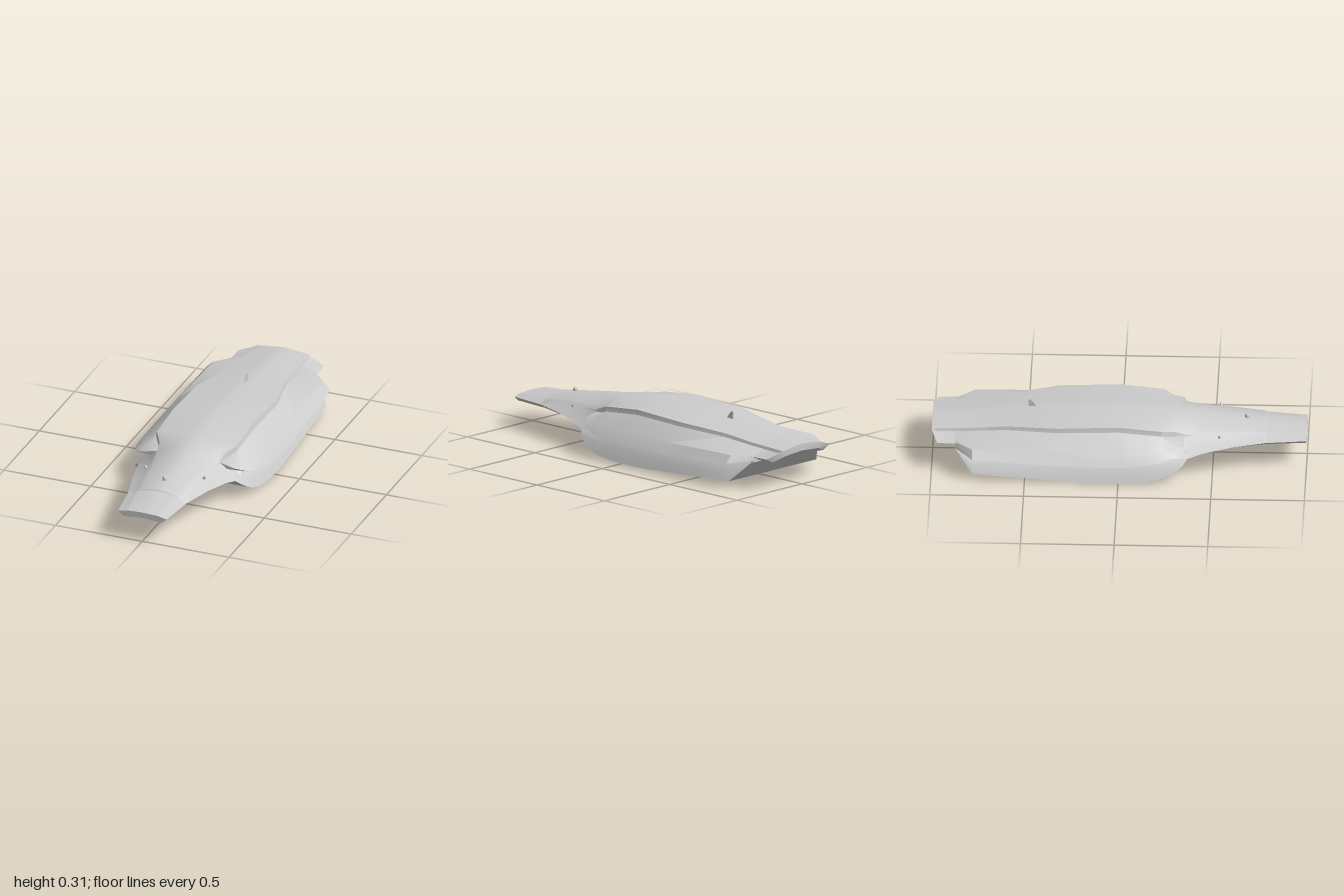
import * as THREE from 'three';
import { toCreasedNormals } from 'three/addons/utils/BufferGeometryUtils.js';

const material = new THREE.MeshStandardMaterial({ color: 0xcccccc });

function add(group, name, geometry, x = 0, y = 0, z = 0) {
  const mesh = new THREE.Mesh(geometry, material);
  mesh.name = name;
  mesh.position.set(x, y, z);
  group.add(mesh);
  return mesh;
}

// Skin closed cross-sections, listed from back to front, and cap both ends.
// Each section is { z, points } with points clockwise as seen from the front.
function loft(sections, flip = false) {
  const n = sections[0].points.length;
  const pos = [], index = [];
  const tri = (a, b, c) => (flip ? index.push(a, c, b) : index.push(a, b, c));
  for (const { z, points } of sections) for (const [x, y] of points) pos.push(flip ? -x : x, y, z);
  for (let i = 0; i < sections.length - 1; i++) {
    for (let j = 0; j < n; j++) {
      const a = i * n + j, b = i * n + (j + 1) % n;
      tri(a, a + n, b + n);
      tri(a, b + n, b);
    }
  }
  for (const end of [0, sections.length - 1]) {
    const { z, points } = sections[end];
    const cx = points.reduce((s, p) => s + p[0], 0) / n;
    const cy = points.reduce((s, p) => s + p[1], 0) / n;
    const centre = pos.length / 3;
    pos.push(flip ? -cx : cx, cy, z);
    for (let j = 0; j < n; j++) {
      const a = end * n + j, b = end * n + (j + 1) % n;
      if (end) tri(centre, b, a); else tri(centre, a, b);
    }
  }
  const g = new THREE.BufferGeometry();
  g.setAttribute('position', new THREE.Float32BufferAttribute(pos, 3));
  g.setIndex(index);
  return toCreasedNormals(g, 0.5);
}

// Complete a half section running from the top centre to the bottom centre.
const mirror = half => half.concat(half.slice(1, -1).reverse().map(([x, y]) => [-x, y]));

// Interpolate a table row; the first column is the rising key.
function sample(table, t) {
  let i = 0;
  while (i < table.length - 2 && t > table[i + 1][0]) i++;
  const a = table[i], b = table[i + 1];
  const f = THREE.MathUtils.clamp((t - a[0]) / (b[0] - a[0]), 0, 1);
  return a.map((v, k) => v + (b[k] - v) * f);
}

// Upper body: z, centre height, deck edge x and y, step depth, outer edge x and y
const body = [
  [-1, 0.222, 0.148, 0.206, 0.004, 0.155, 0.2],
  [-0.97, 0.224, 0.15, 0.208, 0.015, 0.245, 0.172],
  [-0.88, 0.231, 0.152, 0.212, 0.016, 0.248, 0.171],
  [-0.78, 0.239, 0.16, 0.219, 0.016, 0.25, 0.168],
  [-0.6, 0.257, 0.175, 0.24, 0.02, 0.27, 0.155],
  [-0.33, 0.281, 0.23, 0.262, 0.024, 0.28, 0.145],
  [0, 0.296, 0.23, 0.275, 0.028, 0.28, 0.14],
  [0.23, 0.282, 0.228, 0.252, 0.027, 0.28, 0.136],
  [0.3, 0.274, 0.185, 0.228, 0.028, 0.285, 0.118],
  [0.37, 0.265, 0.175, 0.203, 0.01, 0.28, 0.118],
  [0.45, 0.255, 0.16, 0.204, 0.007, 0.255, 0.137],
  [0.6, 0.232, 0.14, 0.197, 0.005, 0.217, 0.155],
  [0.78, 0.206, 0.115, 0.184, 0.003, 0.172, 0.16],
  [0.785, 0.2, 0.113, 0.18, 0.003, 0.168, 0.158],
  [1, 0.172, 0.095, 0.168, 0.002, 0.14, 0.157],
];
function bodySection([z, centre, ex, ey, step, ox, oy]) {
  const half = [];
  for (let k = 0; k <= 6; k++) {
    const t = k / 6;
    half.push([ex * t, centre + (ey - centre) * Math.pow(t, z > 0.25 ? 1.7 : 1.2)]);
  }
  half.push([ex + 0.006, ey - step], [ox, oy], [ox * 0.8, oy - 0.025], [0, oy - 0.016]);
  return { z, points: mirror(half) };
}

// Lower hull: keel height along z, and a flank curve that narrows upward
const keel = [[-0.87, 0.14], [-0.78, 0.036], [-0.5, 0.021], [-0.2, 0.004], [-0.08, 0], [0.05, 0.002],
  [0.14, 0.01], [0.21, 0.022], [0.27, 0.042], [0.31, 0.065], [0.345, 0.092], [0.37, 0.12]];
const flank = [[0, 0.355], [0.05, 0.331], [0.1, 0.3], [0.15, 0.24]];
const flankX = y => sample(flank, y)[1];
function hullSection([z, bottom]) {
  const half = [[0, 0.15]];
  for (let k = 0; k <= 6; k++) {
    const y = 0.15 + (bottom - 0.15) * k / 6;
    half.push([flankX(y), y]);
  }
  half.push([0, bottom]);
  return { z, points: mirror(half) };
}

// Side pod: z, ridge x and y, outer lip x and y; its top meets the foot of the deck step
const pod = [
  [-0.875, 0.235, 0.176, 0.25, 0.146],
  [-0.78, 0.318, 0.177, 0.358, 0.137],
  [-0.33, 0.332, 0.172, 0.376, 0.117],
  [-0.1, 0.336, 0.17, 0.38, 0.112],
  [0.05, 0.335, 0.17, 0.377, 0.114],
  [0.15, 0.328, 0.173, 0.369, 0.12],
  [0.23, 0.312, 0.178, 0.353, 0.132],
  [0.3, 0.275, 0.183, 0.325, 0.152],
  [0.345, 0.22, 0.19, 0.265, 0.178],
];
function podSection(z) {
  const [, rx, ry, lx, ly] = sample(pod, z);
  const [, , ex, ey, step] = sample(body, z);
  const top = ey - step, under = ly - 0.007;
  return {
    z,
    points: [[ex - 0.04, top], [ex + 0.008, top + 0.001], [rx, ry], [lx, ly],
      [Math.min(lx - 0.01, flankX(under)), under], [ex - 0.04, Math.min(0.15, under)]],
  };
}

export function createModel() {
  const model = new THREE.Group();
  model.name = 'hoverHull';

  add(model, 'upperBody', loft(body.map(bodySection)));
  add(model, 'lowerHull', loft(keel.map(hullSection)));

  // Extra pod stations keep it fitted to the body between its own rows
  const stations = [...pod.map(row => row[0]), -0.6, 0].sort((a, b) => a - b);
  for (const side of [1, -1]) {
    const label = side > 0 ? 'left' : 'right';
    add(model, label + 'SidePod', loft(stations.map(podSection), side < 0));
    // Small sensor studs on the nose flanks
    const stud = add(model, label + 'NoseStud', new THREE.CylinderGeometry(0.006, 0.008, 0.02, 10),
      side * 0.17, 0.195, 0.535);
    stud.rotation.z = -side * 0.6;
  }

  // Domed sensor on the nose
  add(model, 'sensorBase', new THREE.CylinderGeometry(0.012, 0.014, 0.016, 16), 0, 0.222, 0.68);
  add(model, 'sensorDome', new THREE.SphereGeometry(0.012, 16, 10), 0, 0.23, 0.68);

  // Thin swept fin on the rear deck
  const finShape = new THREE.Shape();
  finShape.moveTo(0.44, 0.262);
  finShape.lineTo(0.475, 0.308);
  finShape.lineTo(0.49, 0.308);
  finShape.lineTo(0.487, 0.262);
  const fin = new THREE.ExtrudeGeometry(finShape, { depth: 0.006, bevelEnabled: false });
  fin.translate(0, 0, -0.003).rotateY(Math.PI / 2);
  add(model, 'deckFin', fin);

  return model;
}
